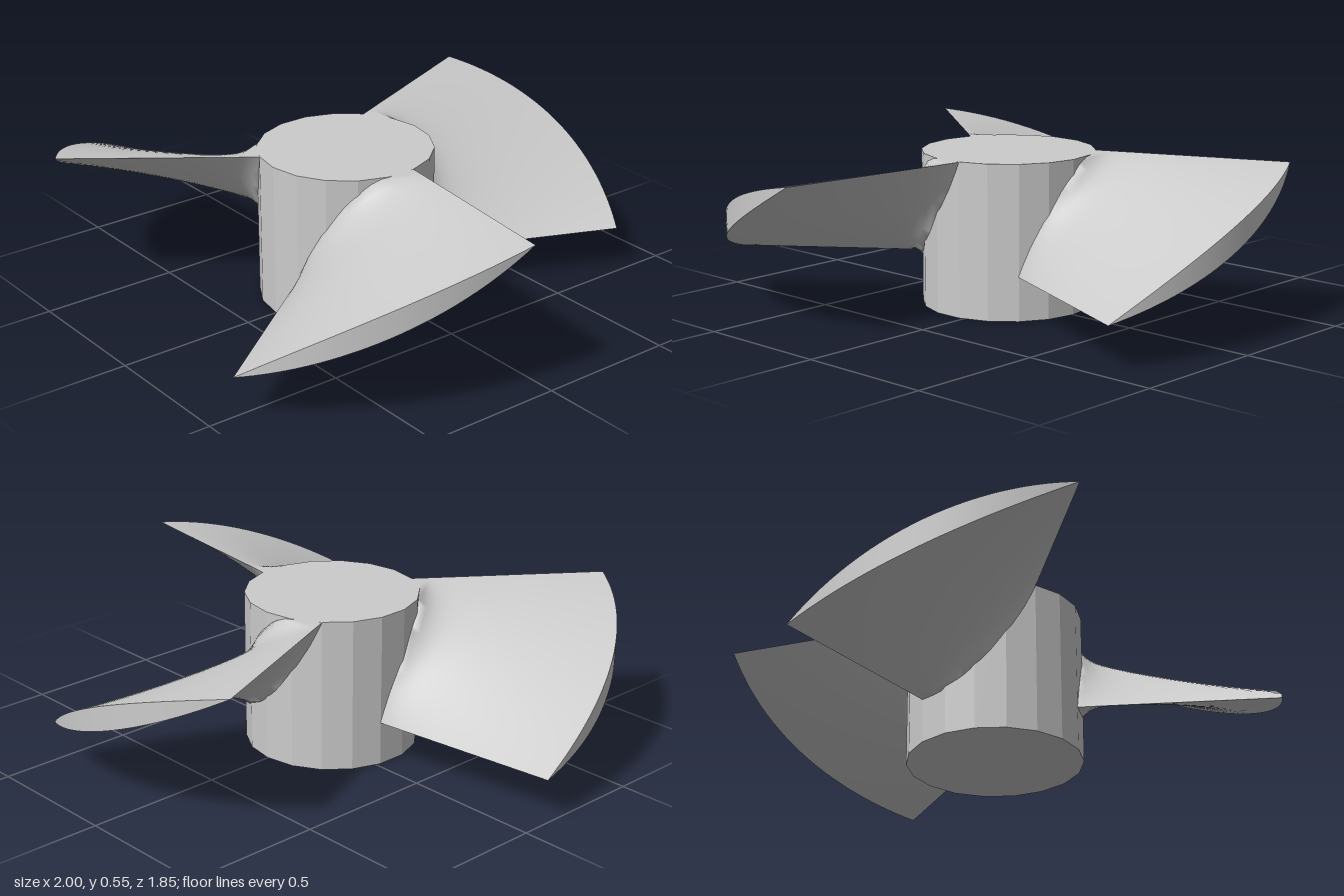
import * as THREE from 'three';
import { ParametricGeometry } from 'three/addons/geometries/ParametricGeometry.js';
import { mergeGeometries } from 'three/addons/utils/BufferGeometryUtils.js';

const HUB_R = 0.31, HUB_H = 0.553, MID_Y = 0.355, RISE = 0.197;
const TIP_ANGLE = THREE.MathUtils.degToRad(28.4);

// Point on a blade pointing to -z.
// s: -1..1 across the chord, d: 0..1 from hub to tip, side: 1 upper face, -1 lower face
function bladePoint(s, d, side, target) {
  const a = s * TIP_ANGLE;
  const x = THREE.MathUtils.lerp(0.185 * s, Math.sin(a), d);
  const z = THREE.MathUtils.lerp(-0.2, -Math.cos(a), d);
  const gap = Math.max(0, Math.hypot(x, z) - HUB_R);
  const fillet = 0.075 * Math.exp(-gap / 0.045);
  const half = 0.045 + 0.015 * (1 - d) + fillet;
  const camber = 0.012;
  const y = MID_Y - RISE * s + (camber + side * half) * (1 - s * s);
  return target.set(x, THREE.MathUtils.clamp(y, MID_Y - RISE, HUB_H), z);
}

function bladeGeometry() {
  // sections are packed closer together near the hub for the fillet
  const along = v => Math.pow(v, 1.6);
  const upper = new ParametricGeometry((u, v, p) => bladePoint(2 * u - 1, along(v), 1, p), 28, 28);
  const lower = new ParametricGeometry((u, v, p) => bladePoint(1 - 2 * u, along(v), -1, p), 28, 28);
  const tip = new ParametricGeometry((u, v, p) => bladePoint(1 - 2 * u, 1, 2 * v - 1, p), 28, 1);
  return mergeGeometries([upper, lower, tip]);
}

export function createModel() {
  const group = new THREE.Group();
  group.name = 'propeller';
  const smooth = new THREE.MeshStandardMaterial({ color: 0xcccccc, side: THREE.DoubleSide });
  const flat = new THREE.MeshStandardMaterial({ color: 0xcccccc, flatShading: true });

  // Faceted hub
  const hub = new THREE.Mesh(new THREE.CylinderGeometry(HUB_R, HUB_R, HUB_H, 18), flat);
  hub.name = 'hub';
  hub.position.set(0, HUB_H / 2, 0.07);
  group.add(hub);

  // Three pitched blades around the hub
  const geometry = bladeGeometry();
  for (let i = 0; i < 3; i++) {
    const blade = new THREE.Mesh(geometry, smooth);
    blade.name = 'blade' + (i + 1);
    blade.position.z = 0.07;
    blade.rotation.y = i * Math.PI * 2 / 3;
    group.add(blade);
  }
  return group;
}
